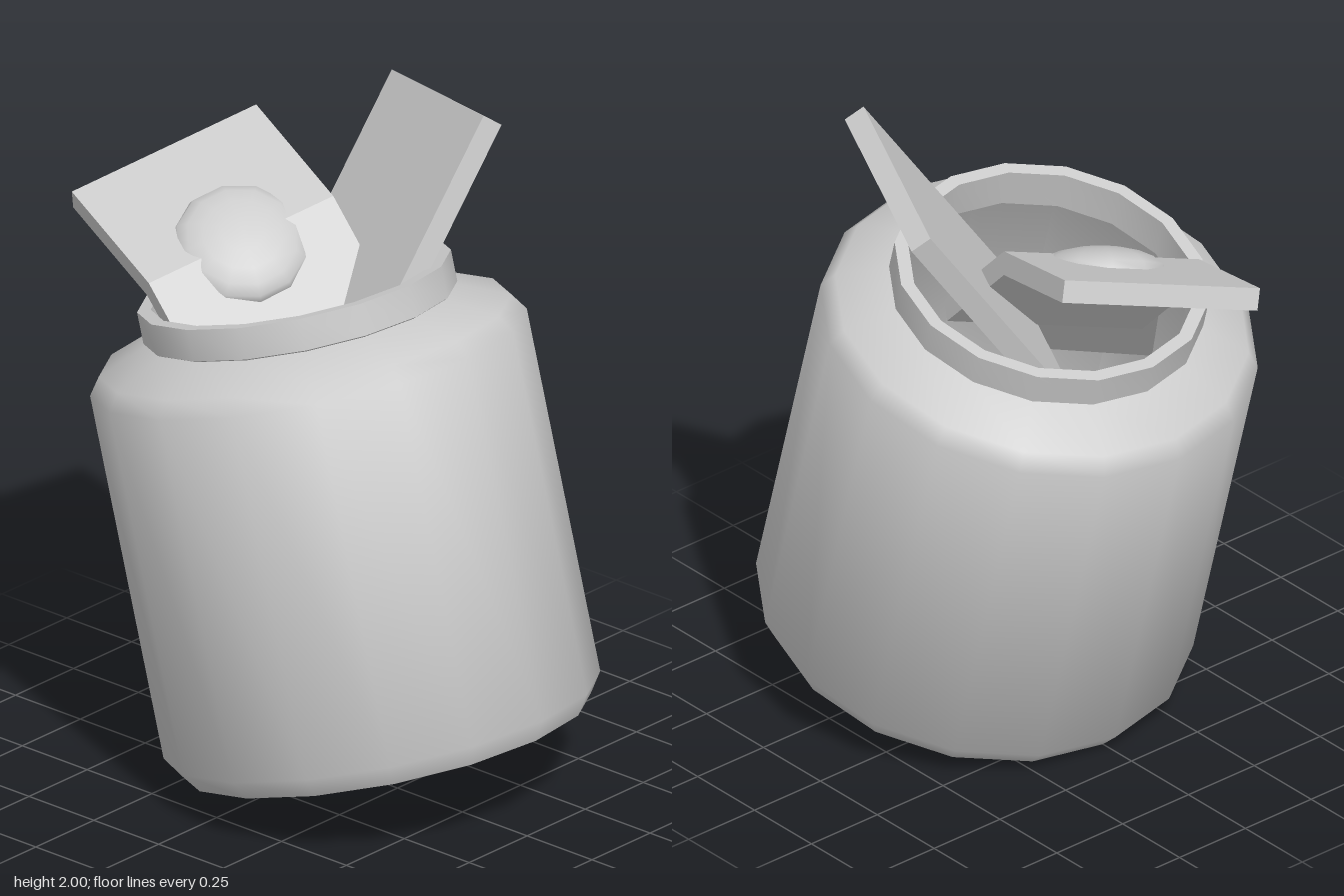
import * as THREE from 'three';
import { toCreasedNormals } from 'three/addons/utils/BufferGeometryUtils.js';

const material = new THREE.MeshStandardMaterial({ color: 0xcccccc });
const V = (x, y, z) => new THREE.Vector3(x, y, z);

function add(group, name, geometry) {
  const mesh = new THREE.Mesh(geometry, material);
  mesh.name = name;
  group.add(mesh);
  return mesh;
}

// Slab with a side profile (x along its length, y out of its top face),
// extruded across its width, starting from one top corner.
function addSlab(group, name, profile, corner, along, across) {
  const shape = new THREE.Shape(profile.map(([x, y]) => new THREE.Vector2(x, y)));
  const geometry = new THREE.ExtrudeGeometry(shape, { depth: across.length(), bevelEnabled: false });
  const mesh = add(group, name, geometry);
  const z = across.clone().normalize();
  const y = z.clone().cross(along).normalize();
  const x = y.clone().cross(z);
  mesh.quaternion.setFromRotationMatrix(new THREE.Matrix4().makeBasis(x, y, z));
  mesh.position.copy(corner);
}

const flat = (length, t = 0.066) => [[0, 0], [0, -t], [length, -t], [length, 0]];

export function createModel() {
  const model = new THREE.Group();

  // Hollow 16-sided jar, tilted to one side
  const profile = [
    [0, 0], [0.6, 0], [0.64, 0.06], [0.64, 1.155], [0.605, 1.205], [0.45, 1.27],
    [0.46, 1.275], [0.46, 1.37], [0.42, 1.37], [0.42, 1.25],
    [0.57, 1.18], [0.6, 1.14], [0.6, 0.07], [0.57, 0.04], [0, 0.04],
  ].map(([r, y]) => new THREE.Vector2(r, y));
  const jar = add(model, 'jar', toCreasedNormals(new THREE.LatheGeometry(profile, 16), 0.8));
  jar.rotation.z = THREE.MathUtils.degToRad(15);
  jar.position.set(0.205, 0.16, 0);

  // Straight slab leaning towards the back
  addSlab(model, 'straightSlab', flat(0.89), V(0.25, 2, -0.37),
    V(-0.08, -0.82, 0.57), V(-0.56, -0.1, -0.23));

  // Bent slab resting on the rim
  addSlab(model, 'bentSlab',
    [[0, 0], [0, -0.066], [0.419, -0.066], [0.771, -0.269], [0.804, -0.212], [0.437, 0]],
    V(-0.6, 1.79, -0.34), V(0.4, -0.13, 0.12), V(-0.21, -0.15, 0.56));

  // Shallow dome on the fold of the bent slab
  const normal = V(0.44, 0.82, 0.38).normalize();
  const dome = add(model, 'dome',
    new THREE.SphereGeometry(0.2, 12, 5, 0, Math.PI * 2, 0, Math.PI / 2));
  dome.scale.y = 0.4;
  dome.quaternion.setFromUnitVectors(V(0, 1, 0), normal);
  dome.position.copy(V(-0.31, 1.59, 0.045).addScaledVector(normal, -0.05));

  // Small slab inside the mouth
  addSlab(model, 'innerSlab', flat(0.4), V(0.08, 1.34, 0.09),
    V(0.45, -0.8, 0.4), V(-0.26, -0.03, 0.3));

  return model;
}
